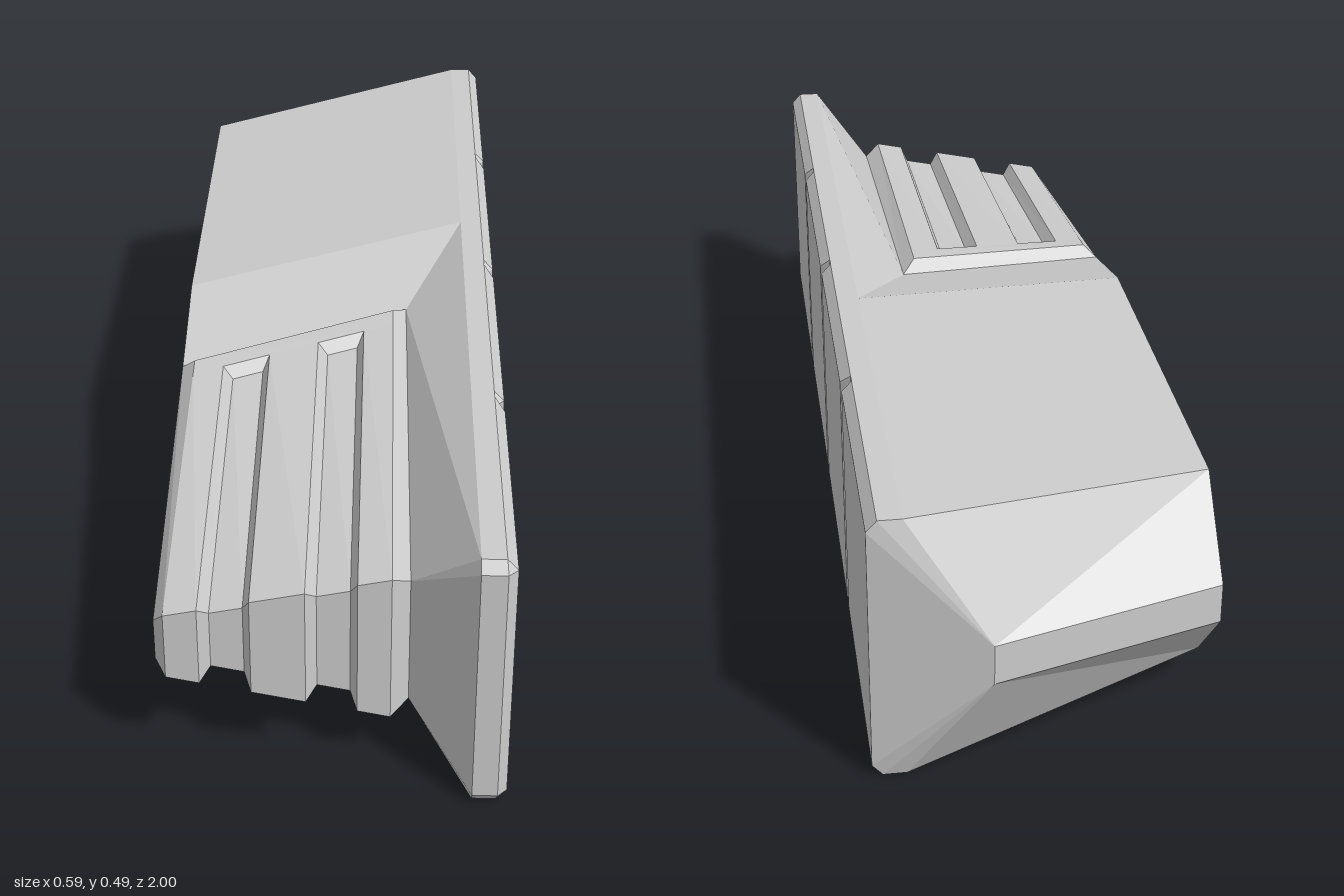
import * as THREE from 'three';

const MID = 0.244; // height of the mirror plane; points are [x, height above MID, z]
const material = new THREE.MeshStandardMaterial({ color: 0xcccccc, flatShading: true });

// Upper faces are mirrored below MID; each outline edge becomes a wall joining both halves.
function shell(name, faces, outline) {
  const pos = [];
  const tri = (...pts) => pts.forEach(([x, h, z]) => pos.push(x, MID + h, z));
  const flip = ([x, h, z]) => [x, -h, z];
  for (const f of faces) {
    for (let i = 1; i < f.length - 1; i++) {
      let [a, b, c] = [f[0], f[i], f[i + 1]];
      const up = (b[2] - a[2]) * (c[0] - a[0]) - (b[0] - a[0]) * (c[2] - a[2]);
      if (up < 0) [b, c] = [c, b]; // keep the upper faces turned upwards
      tri(a, b, c);
      tri(flip(a), flip(c), flip(b));
    }
  }
  for (let i = 0; i < outline.length - 1; i++) {
    const a = outline[i], b = outline[i + 1];
    tri(a, b, flip(b));
    tri(a, flip(b), flip(a));
  }
  const geometry = new THREE.BufferGeometry();
  geometry.setAttribute('position', new THREE.Float32BufferAttribute(pos, 3));
  geometry.computeVertexNormals();
  const mesh = new THREE.Mesh(geometry, material);
  mesh.name = name;
  return mesh;
}

export function createModel() {
  const group = new THREE.Group();

  // Key corners of the body
  const sideBack = [-0.295, 0.18, -0.75], sideFront = [-0.295, 0.18, 0.01];
  const tailSide = [-0.295, 0.036, -0.88], tailTip = [0.1, 0.036, -1];
  const plateBack = [0.235, 0.244, -0.94], plateApex = [0.235, 0.244, -0.15];
  const plateFront = [0.235, 0.244, 0.985], plateNose = [0.235, 0.224, 1];
  const lipLeft = [-0.295, 0.126, 0.23], lipRight = [0.125, 0.176, 0.09];
  const gripLeft = [-0.288, 0.039, 0.885], gripRight = [0.13, 0.121, 0.88];
  const topBack = [0.275, 0.244, -0.94], outerBack = [0.293, 0.224, -0.94];

  // Tapered body with the bevelled tail and the ramp down to the grip
  group.add(shell('body', [
    [sideBack, plateBack, plateApex, sideFront],
    [sideFront, plateApex, lipRight, lipLeft],
    [lipRight, plateApex, plateFront, gripRight],
    [plateFront, plateNose, gripRight],
    [sideBack, tailSide, tailTip, plateBack],
    [plateBack, topBack, tailTip],
    [topBack, outerBack, tailTip],
  ], [lipLeft, sideFront, sideBack, tailSide, tailTip, outerBack]));
  group.add(shell('plateInnerNose', [], [plateNose, gripRight]));

  // Side plate: chamfered section run along z, with a notch between panels
  const stations = [[-0.94, 0.293]];
  for (const z of [-0.46, 0.03, 0.513]) {
    stations.push([z - 0.018, 0.293], [z, 0.276], [z + 0.018, 0.293]);
  }
  stations.push([0.985, 0.293], [1, 0.277]);
  const rows = stations.map(([z, x]) => {
    const top = z === 1 ? 0.224 : 0.244;
    return [[0.235, top, z], [0.275, top, z], [x, 0.224, z]];
  });
  const plateFaces = [];
  for (let i = 0; i < rows.length - 1; i++) {
    const [a, b, c] = rows[i], [d, e, f] = rows[i + 1];
    plateFaces.push([a, b, e, d], [b, c, f, e]);
  }
  group.add(shell('sidePlate', plateFaces, [...rows.map(r => r[2]), plateNose]));

  // Grip: a sloping wedge with two grooves that wrap around its front
  const X0 = -0.27, X1 = 0.1, RIM = 0.06;
  const grip = (x, t) => {
    const u = (x - X0) / (X1 - X0), mix = THREE.MathUtils.lerp;
    return [x, mix(mix(0.149, 0.194, u), mix(0.063, 0.141, u), t),
      mix(mix(0.245, 0.125, u), 0.905, t)];
  };
  const sink = (x, t, dz) => {
    const [, h, z] = grip(x, t);
    return [x, h - 0.024, z + dz];
  };
  const faces = [
    [lipLeft, lipRight, grip(X1, 0), grip(X0, 0)],
    [lipLeft, grip(X0, 0), grip(X0, 1), gripLeft],
    [lipRight, gripRight, grip(X1, 1), grip(X1, 0)],
    [grip(X0, 0), grip(X1, 0), grip(X1, RIM), grip(X0, RIM)],
  ];
  const ribs = [[X0, -0.215], [-0.13, -0.04], [0.045, X1]];
  for (const [a, b] of ribs) {
    faces.push([grip(a, RIM), grip(b, RIM), grip(b, 1), grip(a, 1)]);
  }
  const front = [gripLeft, grip(X0, 1)];
  for (let i = 0; i < 2; i++) {
    const a = ribs[i][1], b = ribs[i + 1][0];
    const fa = a + 0.018, fb = b - 0.012;
    const backA = sink(fa, RIM, 0.015), backB = sink(fb, RIM, 0.015);
    const frontA = sink(fa, 1, -0.02), frontB = sink(fb, 1, -0.02);
    faces.push(
      [backA, backB, frontB, frontA],
      [grip(a, RIM), grip(b, RIM), backB, backA],
      [grip(a, RIM), backA, frontA, grip(a, 1)],
      [grip(b, RIM), grip(b, 1), frontB, backB],
    );
    front.push(grip(a, 1), frontA, frontB, grip(b, 1));
  }
  front.push(grip(X1, 1), gripRight);
  group.add(shell('grip', faces, [...front.reverse(), lipLeft]));

  return group;
}
